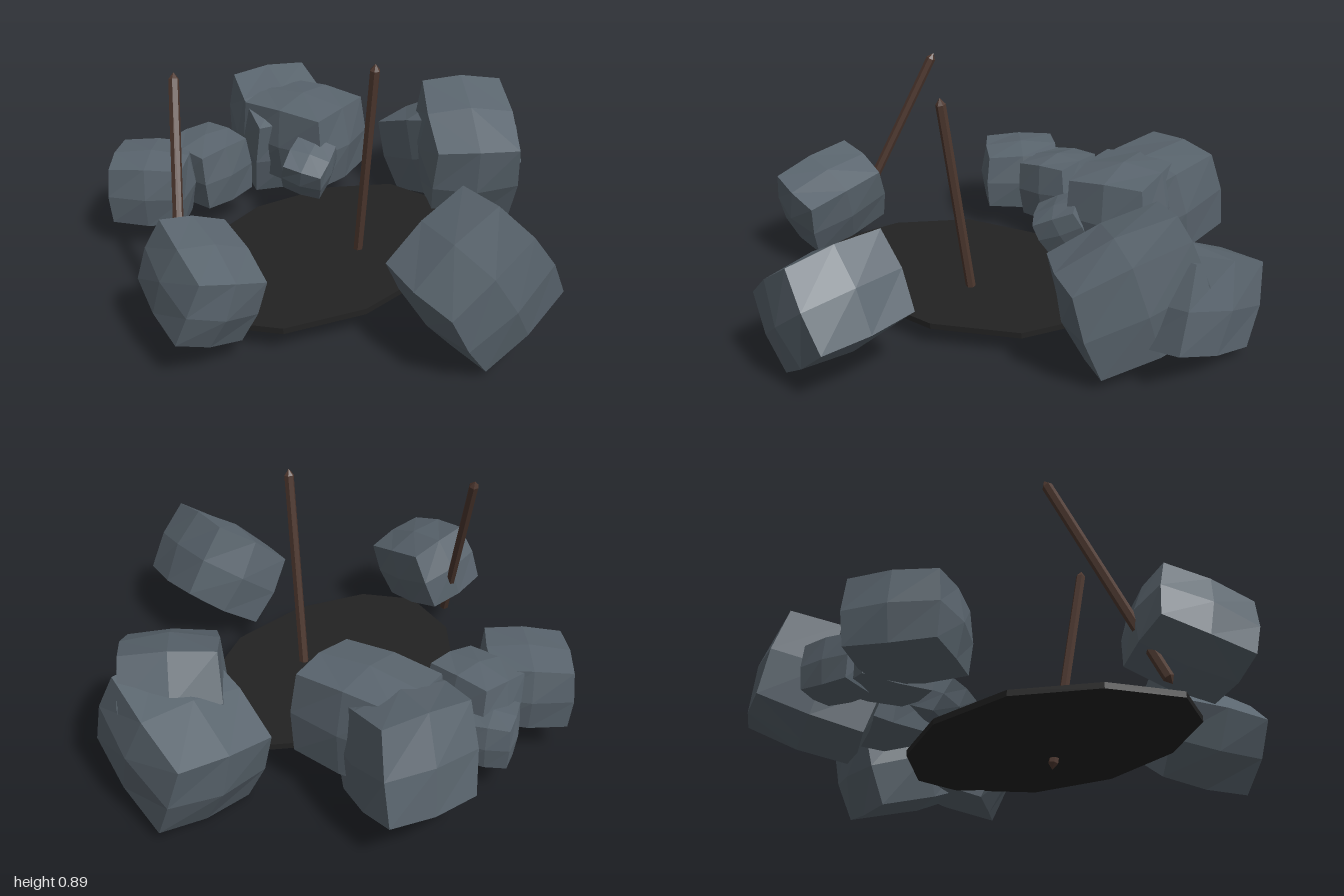
import * as THREE from 'three';

const stone = new THREE.MeshStandardMaterial({ color: 0x5a656e });
stone.name = 'slate grey stone';
const ash = new THREE.MeshStandardMaterial({ color: 0x222222 });
ash.name = 'charcoal black ash';
const wood = new THREE.MeshStandardMaterial({ color: 0x4e382f });
wood.name = 'dark brown wood';

// Faceted rock: a bulged, tilted block fitted between two opposite corners
function rock(name, size, [pitch, yaw, roll], min, max) {
  const geo = new THREE.BoxGeometry(2, 2, 2, 2, 2, 2).toNonIndexed();
  const pos = geo.attributes.position;
  const turn = new THREE.Euler(pitch, yaw, roll, 'YXZ');
  const v = new THREE.Vector3();
  const round = new THREE.Vector3();
  for (let i = 0; i < pos.count; i++) {
    v.fromBufferAttribute(pos, i);
    round.copy(v).normalize().multiplyScalar(1.35);
    v.lerp(round, 0.35).multiply(new THREE.Vector3(...size)).applyEuler(turn);
    pos.setXYZ(i, v.x, v.y, v.z);
  }
  geo.computeBoundingBox();
  const from = geo.boundingBox.min.clone();
  const span = geo.boundingBox.getSize(new THREE.Vector3());
  const low = new THREE.Vector3(...min);
  const high = new THREE.Vector3(...max).sub(low);
  for (let i = 0; i < pos.count; i++) {
    v.fromBufferAttribute(pos, i).sub(from).divide(span).multiply(high).add(low);
    pos.setXYZ(i, v.x, v.y, v.z);
  }
  geo.computeVertexNormals();
  const mesh = new THREE.Mesh(geo, stone);
  mesh.name = name;
  return mesh;
}

// Thin six-sided stick with blunt pointed ends
function stick(name, start, end) {
  const a = new THREE.Vector3(...start);
  const b = new THREE.Vector3(...end);
  const h = a.distanceTo(b);
  const r = 0.019;
  const profile = [[0, 0], [r, 0.025], [r, h - 0.025], [0, h]].map(p => new THREE.Vector2(...p));
  const geo = new THREE.LatheGeometry(profile, 6).toNonIndexed();
  geo.computeVertexNormals();
  const mesh = new THREE.Mesh(geo, wood);
  mesh.name = name;
  mesh.position.copy(a);
  mesh.quaternion.setFromUnitVectors(new THREE.Vector3(0, 1, 0), b.sub(a).normalize());
  return mesh;
}

export function createModel() {
  const model = new THREE.Group();
  model.name = 'stone fire ring';

  // Flat bed of ash, outline given as x, z
  const outline = [
    [-0.38, -0.41], [-0.03, -0.44], [0.28, -0.33], [0.48, -0.13], [0.48, 0.05], [0.29, 0.31],
    [-0.03, 0.42], [-0.38, 0.38], [-0.65, 0.23], [-0.75, 0.03], [-0.63, -0.22],
  ].map(p => new THREE.Vector2(...p));
  const bed = new THREE.ExtrudeGeometry(new THREE.Shape(outline), { depth: 0.022, bevelEnabled: false });
  bed.rotateX(Math.PI / 2).translate(0, 0.096, 0);
  const ashBed = new THREE.Mesh(bed, ash);
  ashBed.name = 'ashBed';
  model.add(ashBed);

  // Ring of rocks: name, proportions, pitch/yaw/roll, lower corner, upper corner
  [
    ['rightRock', [0.34, 0.33, 0.45], [0.25, -0.38, -0.3], [-1, 0.08, -0.22], [-0.6, 0.47, 0.23]],
    ['frontRock', [0.45, 0.36, 0.45], [0.08, -0.36, 0.6], [-0.51, 0.02, 0.46], [0.05, 0.53, 0.97]],
    ['leftOuterRock', [0.42, 0.38, 0.52], [-0.33, -0.26, 0.1], [0.5, 0, -0.3], [1, 0.47, 0.29]],
    ['leftInnerRock', [0.55, 0.42, 0.42], [0, 0.75, 0.35], [0.33, 0.03, -0.15], [0.93, 0.56, 0.45]],
    ['backLeftInnerRock', [0.35, 0.36, 0.45], [0, 0.04, 0.05], [0.14, 0.12, -0.71], [0.51, 0.49, -0.24]],
    ['backLeftOuterRock', [0.4, 0.4, 0.5], [0.28, -0.47, 0], [0.1, 0.04, -0.92], [0.64, 0.51, -0.4]],
    ['backRightRock', [0.38, 0.3, 0.36], [0, 0.6, 0], [-0.52, 0.09, -0.97], [-0.1, 0.37, -0.53]],
    ['backMiddleRock', [0.28, 0.28, 0.3], [0, -0.15, 0.1], [-0.21, 0.1, -0.82], [0.07, 0.38, -0.52]],
    ['backPebble', [0.22, 0.18, 0.2], [0, 0.35, 0], [-0.11, 0.09, -0.9], [0.14, 0.28, -0.69]],
    ['innerPebble', [0.25, 0.2, 0.22], [0.2, 0.35, 0.45], [0.01, 0.14, -0.42], [0.27, 0.37, -0.18]],
  ].forEach(r => model.add(rock(...r)));

  // Leaning sticks
  model.add(stick('middleStick', [-0.05, 0.03, 0.09], [-0.107, 0.885, 0.21]));
  model.add(stick('rightStick', [-0.805, 0.065, -0.1], [-0.515, 0.845, -0.365]));
  return model;
}
